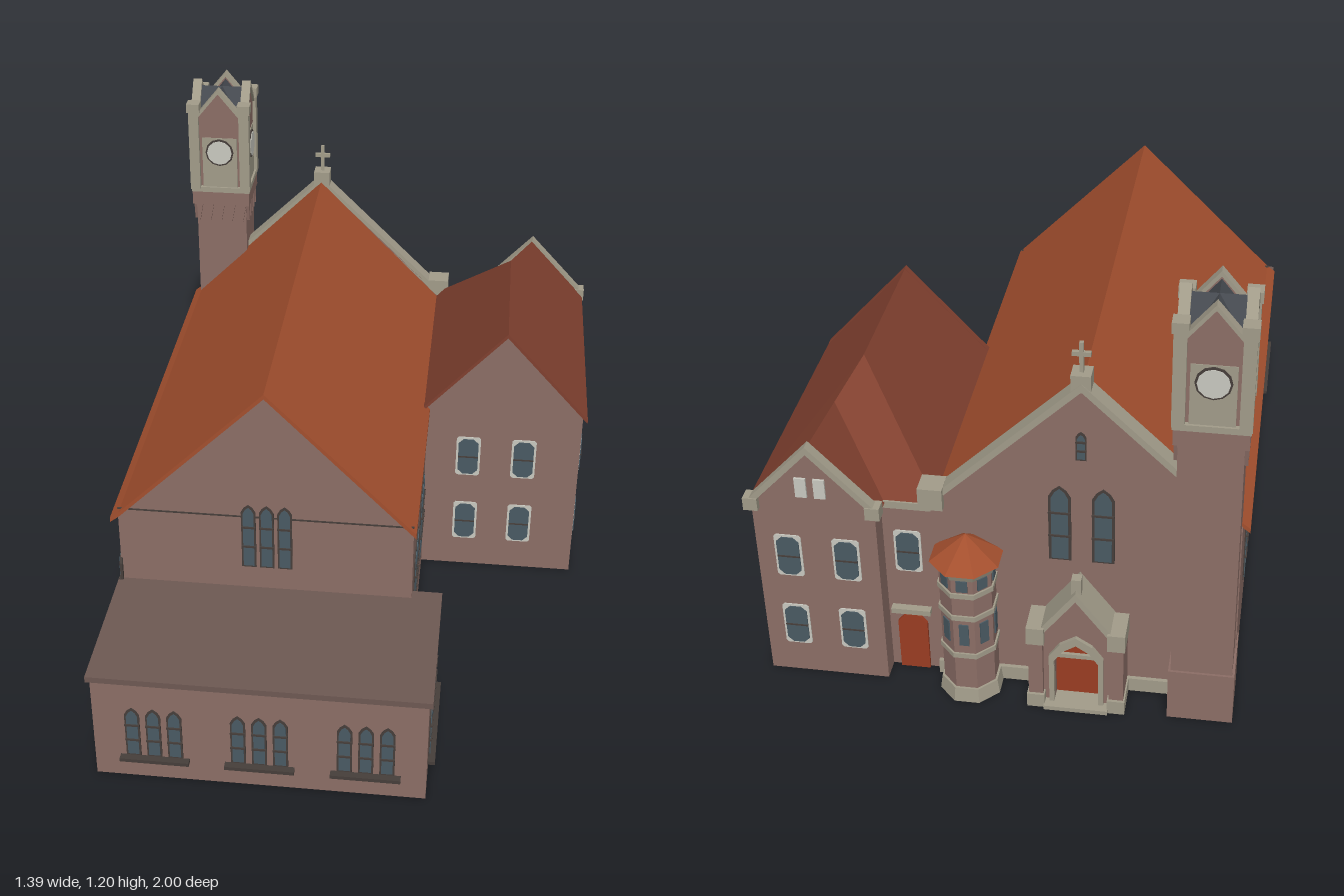
import * as THREE from 'three';

const mat = (color) => new THREE.MeshStandardMaterial({ color, flatShading: true, side: THREE.DoubleSide });
const brick = mat(0x8c6e66), flatRoof = mat(0x6e5953), tile = mat(0xa34f2e), darkTile = mat(0x80402f);
const stone = mat(0xa29c8a), pale = mat(0xc9c9c0), glass = mat(0x4a5a63), frame = mat(0x463e3a);
const slate = mat(0x45494f), door = mat(0x9a3c22);

export function createModel() {
  const root = new THREE.Group();
  root.name = 'church';
  root.rotation.y = 0.3037; // the plan stands askew to the axes

  const add = (parent, name, geo, material, x = 0, y = 0, z = 0) => {
    const m = new THREE.Mesh(geo, material);
    m.name = name;
    m.position.set(x, y, z);
    parent.add(m);
    return m;
  };
  const group = (name, parent = root) => {
    const g = new THREE.Group();
    g.name = name;
    parent.add(g);
    return g;
  };
  // box given by its lower and upper corners
  const box = (parent, name, material, x0, x1, y0, y1, z0, z1) =>
    add(parent, name, new THREE.BoxGeometry(x1 - x0, y1 - y0, z1 - z0), material,
      (x0 + x1) / 2, (y0 + y1) / 2, (z0 + z1) / 2);
  const outline = (pts) => new THREE.Shape(pts.map((p) => new THREE.Vector2(...p)));
  // outline in x/y drawn out from z0 to z1
  const prism = (parent, name, material, pts, z0, z1) => add(parent, name,
    new THREE.ExtrudeGeometry(outline(pts), { depth: z1 - z0, bevelEnabled: false }), material, 0, 0, z0);
  // sloping band of thickness t that follows a line of points
  const band = (parent, name, material, pts, t, z0, z1) => prism(parent, name, material,
    [...pts, ...pts.slice().reverse().map(([x, y]) => [x, y - t])], z0, z1);
  // flat polygon from corner points
  const panel = (parent, name, material, pts) => {
    const g = new THREE.BufferGeometry().setFromPoints(pts.map((p) => new THREE.Vector3(...p)));
    g.setIndex(pts.slice(2).flatMap((_, i) => [0, i + 1, i + 2]));
    g.computeVertexNormals();
    return add(parent, name, g, material);
  };
  const turns = { front: 0, right: Math.PI / 2, back: Math.PI, left: -Math.PI / 2 };
  // group whose z axis points out of a wall; a runs along the wall, d is its plane
  const onWall = (parent, name, side, a, d, y) => {
    const g = group(name, parent);
    g.rotation.y = turns[side];
    if (side === 'front' || side === 'back') g.position.set(a, y, d);
    else g.position.set(d, y, a);
    return g;
  };
  const arch = (w, h, rise) => [[-w / 2, 0], [w / 2, 0], [w / 2, h - rise], [w * 0.3, h - rise * 0.4],
    [0, h], [-w * 0.3, h - rise * 0.4], [-w / 2, h - rise]];
  // row of pointed windows with a cross bar and an optional sill
  const lancets = (side, a, d, y, n, w, h, step, sill, parent = root) => {
    const g = onWall(parent, 'lancetWindows', side, a, d, y);
    for (let i = 0; i < n; i++) {
      const x = (i - (n - 1) / 2) * step;
      prism(g, 'windowFrame', frame, arch(w, h, w * 0.6), -0.004, 0.003).position.x = x;
      prism(g, 'windowPane', glass, arch(w * 0.75, h - 0.012, w * 0.5), 0, 0.005).position.set(x, 0.005, 0);
      for (const t of [0.33, 0.64]) box(g, 'windowBar', frame, x - w / 2, x + w / 2, h * t, h * t + 0.005, 0, 0.008);
    }
    const half = (n * step) / 2 + 0.008;
    if (sill) box(g, 'windowSill', frame, -half, half, -0.012, -0.002, -0.004, 0.018);
  };
  // chamfered window with a pale surround
  const paneWindow = (side, a, d, y) => {
    const g = onWall(root, 'wingWindow', side, a, d, y);
    const eight = (w, h, c) => [[-w + c, -h], [w - c, -h], [w, -h + c], [w, h - c], [w - c, h], [c - w, h], [-w, h - c], [-w, c - h]];
    prism(g, 'windowSurround', pale, eight(0.034, 0.063, 0.006), -0.004, 0.003);
    prism(g, 'windowPane', glass, eight(0.028, 0.057, 0.014), 0, 0.006);
    box(g, 'windowBar', frame, -0.028, 0.028, -0.002, 0.002, 0, 0.008);
  };

  // Nave
  const nave = group('nave');
  prism(nave, 'naveWalls', brick, [[-0.45, 0], [0.3, 0], [0.3, 0.515], [-0.07, 0.885], [-0.45, 0.515]], -0.74, 0.512);
  band(nave, 'naveRoof', tile, [[-0.468, 0.512], [-0.445, 0.53], [-0.07, 0.903], [0.307, 0.522]], 0.013, -0.72, 0.526);
  box(nave, 'gableString', frame, -0.45, 0.3, 0.532, 0.536, 0.51, 0.514);
  lancets('front', -0.07, 0.512, 0.38, 3, 0.037, 0.19, 0.046);
  for (let i = 0; i < 5; i++) lancets('left', -0.42 + i * 0.215, -0.45, 0.17, 3, 0.042, 0.22, 0.06);
  for (const v of [0.356, 0.094]) lancets('right', v, 0.3, 0.17, 3, 0.042, 0.22, 0.05);

  // Entrance facade: coping, shoulder block, cross and tall windows
  const facade = group('entranceFacade');
  prism(facade, 'facadeGable', brick, [[-0.44, 0], [0.3, 0], [0.3, 0.54], [-0.07, 0.9], [-0.44, 0.54]], -0.755, -0.715);
  band(facade, 'facadeCoping', stone, [[-0.44, 0.555], [-0.07, 0.915], [0.3, 0.555]], 0.022, -0.762, -0.715);
  box(facade, 'shoulderBlock', stone, 0.265, 0.325, 0.53, 0.59, -0.775, -0.715);
  box(facade, 'crossBase', stone, -0.092, -0.045, 0.89, 0.935, -0.76, -0.713);
  box(facade, 'crossPost', stone, -0.073, -0.063, 0.93, 1.013, -0.742, -0.732);
  box(facade, 'crossArm', stone, -0.09, -0.046, 0.977, 0.988, -0.742, -0.732);
  lancets('back', -0.068, -0.755, 0.4, 2, 0.055, 0.22, 0.105);
  lancets('back', -0.068, -0.755, 0.7, 1, 0.025, 0.08, 0.05);
  box(facade, 'facadePlinth', stone, -0.3, 0.3, 0, 0.04, -0.765, -0.74);

  // Porch with red doors
  const porch = onWall(root, 'porch', 'back', -0.064, -0.75, 0);
  const porchFront = outline([[-0.085, 0], [0.085, 0], [0.085, 0.23], [0, 0.345], [-0.085, 0.23]]);
  porchFront.holes.push(new THREE.Path(arch(0.11, 0.2, 0.055).map((p) => new THREE.Vector2(p[0], p[1] + 0.002))));
  add(porch, 'porchFront', new THREE.ExtrudeGeometry(porchFront, { depth: 0.08, bevelEnabled: false }), brick);
  prism(porch, 'porchDoor', door, arch(0.11, 0.2, 0.055), 0, 0.05);
  box(porch, 'doorLintel', stone, -0.055, 0.055, 0.13, 0.142, 0.04, 0.058);
  const a0 = arch(0.135, 0.225, 0.065), a1 = arch(0.11, 0.2, 0.055);
  prism(porch, 'doorArch', stone, [...a0.slice(1), a0[0], a1[0], ...a1.slice(1).reverse()], 0.07, 0.09);
  band(porch, 'porchCoping', stone, [[-0.1, 0.23], [0, 0.365], [0.1, 0.23]], 0.025, 0, 0.09);
  box(porch, 'porchFinial', stone, -0.012, 0.012, 0.35, 0.395, 0.05, 0.075);
  for (const s of [-1, 1]) {
    const b = group('porchButtress', porch);
    b.position.x = s * 0.1;
    box(b, 'buttressShaft', brick, -0.018, 0.018, 0, 0.2, 0, 0.095);
    box(b, 'buttressFoot', stone, -0.022, 0.022, 0, 0.04, 0, 0.102);
    box(b, 'buttressCap', stone, -0.022, 0.022, 0.2, 0.25, 0.01, 0.098);
  }
  box(porch, 'porchStep', stone, -0.08, 0.08, 0, 0.012, 0, 0.11);

  // Eight-sided stair turret
  const turret = group('stairTurret');
  turret.position.set(0.21, 0, -0.785);
  const ring = (name, m, r0, r1, y0, y1) =>
    add(turret, name, new THREE.CylinderGeometry(r1, r0, y1 - y0, 8), m, 0, (y0 + y1) / 2, 0).rotation.y = Math.PI / 8;
  ring('turretWall', brick, 0.07, 0.07, 0, 0.4);
  ring('turretPlinth', stone, 0.082, 0.076, 0, 0.04);
  for (const y of [0.14, 0.26, 0.33]) ring('turretBand', stone, 0.075, 0.075, y, y + 0.014);
  ring('turretCornice', stone, 0.073, 0.084, 0.385, 0.41);
  ring('turretRoof', tile, 0.092, 0.002, 0.41, 0.475);
  for (let i = 0; i < 5; i++) {
    const side = group('turretSide', turret);
    side.rotation.y = Math.PI / 2 + (i * Math.PI) / 4;
    box(side, 'turretWindow', glass, -0.012, 0.012, 0.18, 0.245, 0.06, 0.068);
    box(side, 'turretUpperWindow', glass, -0.014, 0.014, 0.35, 0.383, 0.06, 0.068);
  }

  // Clock tower
  const tower = group('clockTower');
  tower.position.set(-0.372, 0, -0.762);
  const block = (name, m, w, y0, y1) => box(tower, name, m, -w / 2, w / 2, y0, y1, -w / 2, w / 2);
  block('towerPlinth', brick, 0.162, 0, 0.15);
  block('towerShaft', brick, 0.15, 0, 0.86);
  block('towerCornice', brick, 0.172, 0.83, 0.875);
  block('belfry', brick, 0.152, 0.87, 1.1);
  block('belfrySill', stone, 0.176, 0.872, 0.888);
  for (const side of Object.keys(turns)) {
    const f = onWall(tower, 'towerFace', side, 0, 0, 0);
    for (let i = -2; i <= 2; i++) prism(f, 'corbel', brick, [[-0.01, 0.83], [0, 0.775], [0.01, 0.83]], 0.07, 0.084).position.x = i * 0.033;
    box(f, 'clockPanel', stone, -0.052, 0.052, 0.885, 1.045, 0.07, 0.082);
    add(f, 'clockRim', new THREE.CylinderGeometry(0.042, 0.042, 0.012, 12), frame, 0, 1.0, 0.08).rotation.x = Math.PI / 2;
    add(f, 'clockFace', new THREE.CylinderGeometry(0.037, 0.037, 0.014, 12), pale, 0, 1.0, 0.081).rotation.x = Math.PI / 2;
    prism(f, 'towerGable', brick, [[-0.06, 1.045], [0.06, 1.045], [0.06, 1.11], [0, 1.185], [-0.06, 1.11]], 0.062, 0.08);
    band(f, 'gableCoping', stone, [[-0.068, 1.115], [0, 1.198], [0.068, 1.115]], 0.014, 0.06, 0.086);
    const post = group('cornerPost', f);
    post.position.set(0.075, 0, 0.075);
    box(post, 'postShaft', stone, -0.015, 0.015, 0.88, 1.14, -0.015, 0.015);
    box(post, 'postCap', stone, -0.019, 0.019, 1.125, 1.152, -0.019, 0.019);
    prism(f, 'towerRoof', slate, [[-0.07, 1.09], [0.07, 1.09], [0, 1.178]], 0, 0.065);
    for (const y of side === 'front' ? [0.63] : [0.2, 0.63])
      for (const s of [-1, 1]) prism(f, 'slitWindow', glass, arch(0.022, 0.1, 0.015), 0.07, 0.0835).position.set(s * 0.022, y, 0);
  }

  // Side wing with a hipped roof that runs into a lower rear gable
  const wing = group('sideWing');
  box(wing, 'wingWalls', brick, 0.28, 0.73, 0, 0.53, -0.745, -0.07);
  box(wing, 'wingRearBay', brick, 0.425, 0.73, 0, 0.53, -0.8, -0.7);
  prism(wing, 'wingFrontGable', brick, [[0.28, 0.52], [0.73, 0.52], [0.51, 0.77]], -0.09, -0.07);
  prism(wing, 'wingRearGable', brick, [[0.425, 0.52], [0.73, 0.52], [0.578, 0.69]], -0.8, -0.78);
  const rf = [0.51, 0.78, -0.055], rb = [0.51, 0.78, -0.5], gf = [0.578, 0.703, -0.577], gb = [0.578, 0.703, -0.8];
  const hip = [0.28, 0.525, -0.755], valley = [0.412, 0.525, -0.755];
  panel(wing, 'wingRoofRight', darkTile, [rb, rf, [0.742, 0.525, -0.055], [0.742, 0.525, -0.8], gb, gf]);
  panel(wing, 'wingRoofLeft', darkTile, [rf, rb, hip, [0.28, 0.525, -0.055]]);
  panel(wing, 'wingRoofHip', darkTile, [rb, gf, valley, hip]);
  panel(wing, 'wingRearRoof', darkTile, [gf, gb, [0.412, 0.525, -0.8], valley]);
  band(wing, 'frontVerge', darkTile, [[0.28, 0.527], [0.51, 0.782], [0.742, 0.527]], 0.012, -0.07, -0.053);
  band(wing, 'rearCoping', stone, [[0.412, 0.535], [0.578, 0.713], [0.744, 0.535]], 0.022, -0.812, -0.785);
  for (const x of [0.428, 0.728]) box(wing, 'gableKneeler', stone, x - 0.018, x + 0.018, 0.515, 0.55, -0.815, -0.78);
  box(wing, 'recessCornice', stone, 0.3, 0.425, 0.51, 0.53, -0.755, -0.74);
  for (const y of [0.155, 0.375]) {
    for (const v of [-0.14, -0.295, -0.445, -0.6, -0.745]) paneWindow('right', v, 0.73, y);
    for (const u of [0.42, 0.575]) paneWindow('front', u, -0.07, y);
    for (const u of [0.505, 0.65]) paneWindow('back', u, -0.8, y);
  }
  paneWindow('back', 0.365, -0.745, 0.375);
  for (const x of [0.555, 0.601]) box(wing, 'gableVent', pale, x - 0.014, x + 0.014, 0.56, 0.615, -0.806, -0.79);
  const sideDoor = onWall(wing, 'sideDoor', 'back', 0.365, -0.745, 0);
  prism(sideDoor, 'sideDoorLeaf', door, arch(0.075, 0.18, 0.03), 0, 0.008);
  box(sideDoor, 'sideDoorHood', stone, -0.05, 0.05, 0.185, 0.2, 0, 0.02);

  // Low front annex with a flat roof
  const annex = group('frontAnnex');
  box(annex, 'annexWalls', brick, -0.45, 0.368, 0, 0.302, 0.487, 0.895);
  box(annex, 'annexRoof', flatRoof, -0.459, 0.377, 0.298, 0.314, 0.483, 0.904);
  for (const u of [-0.3, -0.04, 0.22]) lancets('front', u, 0.895, 0.07, 3, 0.037, 0.15, 0.052, true);
  lancets('right', 0.69, 0.368, 0.07, 5, 0.04, 0.15, 0.056, true);
  lancets('left', 0.69, -0.45, 0.07, 5, 0.04, 0.15, 0.056, true);

  return root;
}
